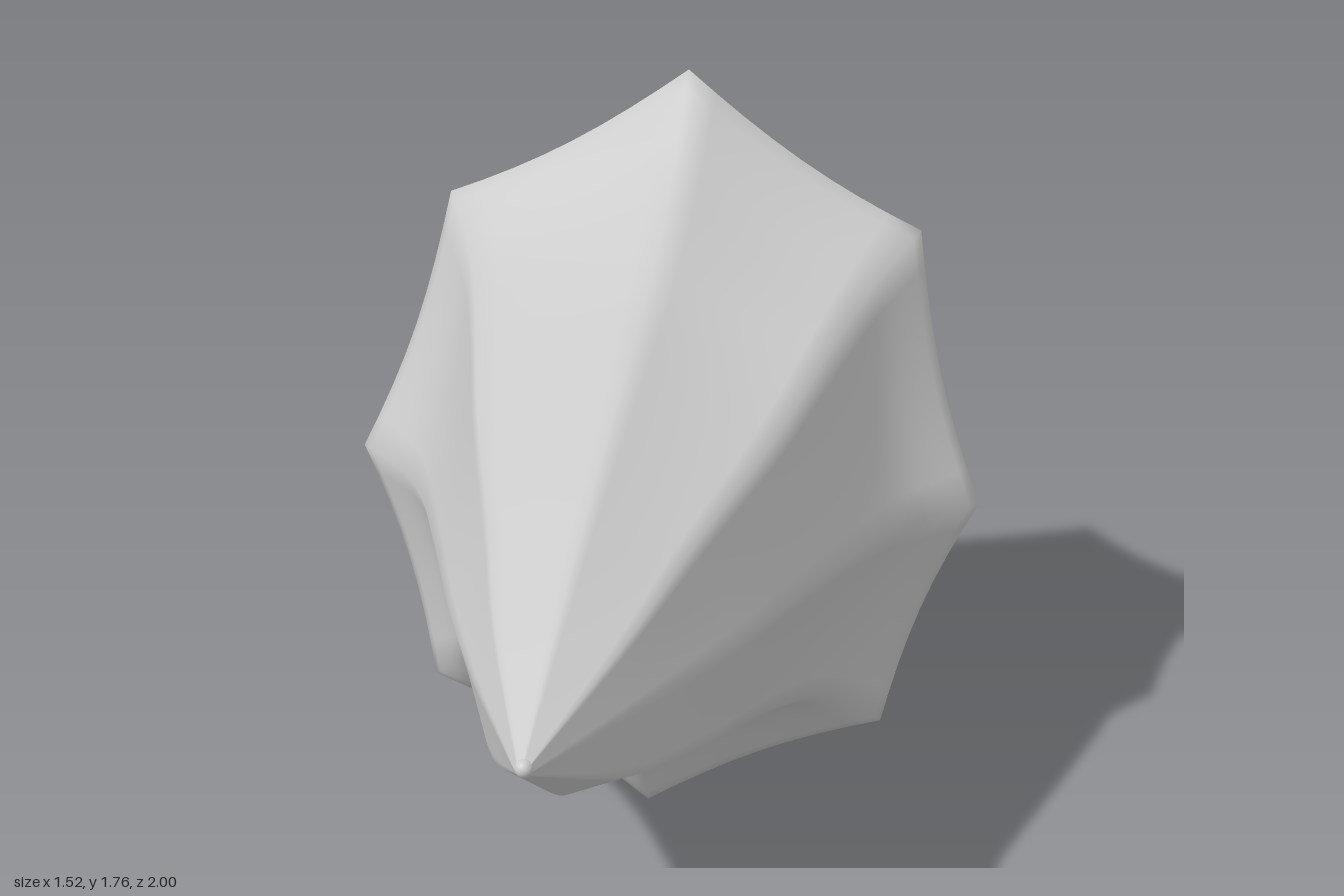
import * as THREE from 'three';

const grey = new THREE.MeshStandardMaterial({ color: 0xcccccc, side: THREE.DoubleSide });

// Smooth surface from closed loops: at(row, col) gives each point.
function loft(name, rows, cols, at) {
  const pos = [], index = [];
  for (let r = 0; r <= rows; r++)
    for (let c = 0; c < cols; c++) pos.push(...at(r, c).toArray());
  for (let r = 0; r < rows; r++)
    for (let c = 0; c < cols; c++) {
      const a = r * cols + c, b = r * cols + (c + 1) % cols;
      index.push(a, b, a + cols, b, b + cols, a + cols);
    }
  const geo = new THREE.BufferGeometry();
  geo.setAttribute('position', new THREE.Float32BufferAttribute(pos, 3));
  geo.setIndex(index);
  geo.computeVertexNormals();
  const mesh = new THREE.Mesh(geo, grey);
  mesh.name = name;
  return mesh;
}

// Ridge lines from the tip to the rim corners: top, upper, side, lower, bottom.
const RIDGES = [
  [[0, 1.095, 0.985], [0, 1.22, 0.6], [0, 1.31, 0.25], [0, 1.40, -0.15], [0, 1.47, -0.48], [0, 1.58, -0.74], [0, 1.76, -0.99]],
  [[0.014, 1.09, 0.985], [0.14, 1.16, 0.6], [0.23, 1.21, 0.25], [0.34, 1.26, -0.15], [0.42, 1.32, -0.5], [0.48, 1.36, -0.73], [0.57, 1.42, -0.94]],
  [[0.02, 1.075, 0.985], [0.19, 1.03, 0.6], [0.32, 0.97, 0.25], [0.45, 0.91, -0.15], [0.55, 0.86, -0.44], [0.63, 0.83, -0.6], [0.76, 0.8, -0.76]],
  [[0.014, 1.063, 0.985], [0.15, 0.83, 0.6], [0.25, 0.69, 0.25], [0.34, 0.57, -0.1], [0.41, 0.47, -0.33], [0.47, 0.37, -0.49], [0.56, 0.24, -0.63]],
  [[0, 1.06, 0.985], [0, 0.76, 0.6], [0, 0.57, 0.25], [0, 0.44, -0.05], [0, 0.32, -0.28], [0, 0.19, -0.41], [0, 0, -0.53]],
];

// Hollow eight-sided cone with a flared rim; outer skin, then inner skin.
function makeShell() {
  const half = RIDGES.map(p => p.map(v => new THREE.Vector3(...v)));
  const mirrored = half.slice(1, 4).reverse().map(p => p.map(v => v.clone().setX(-v.x)));
  const curves = [...half, ...mirrored].map(p => new THREE.CatmullRomCurve3(p, false, 'centripetal'));
  const n = 40, per = 8, thick = 0.026;
  const section = t => {
    const pts = curves.map(k => {
      const p = k.getPoint(t);
      p.x += 0.03 * (1 - t);
      return p;
    });
    const mid = new THREE.Vector3();
    pts.forEach(p => mid.addScaledVector(p, 1 / 8));
    return { pts, mid };
  };
  const sections = Array.from({ length: n + 1 }, (_, i) => section(i / n));
  return loft('shell', 2 * n + 2, per * 8, (r, c) => {
    const i = r <= n ? r : Math.max(0, 2 * n + 2 - r - (r === n + 1 ? 1 : 0));
    const { pts, mid } = sections[Math.min(i, n)];
    const k = Math.floor(c / per), s = (c % per) / per, t = Math.min(i, n) / n;
    const p = pts[k].clone().lerp(pts[(k + 1) % 8], s);
    const inward = mid.clone().sub(p), len = inward.length();
    inward.normalize();
    p.addScaledVector(inward, 0.1 * s * (1 - s) * t * t);
    // the middle row rounds over the lip, later rows form the inside
    const inset = r <= n ? 0 : r === n + 1 ? thick / 2 : thick;
    p.addScaledVector(inward, Math.min(inset, len * 0.5));
    if (r === n + 1) p.z -= 0.008;
    return p;
  });
}

// Wrinkled cup set inside the shell, with a torn lip and a closed bowl.
function makeCup() {
  // [fraction of the way from front to lip, radius]
  const profile = [
    [0, 0.29], [0.2, 0.31], [0.4, 0.315], [0.6, 0.30], [0.75, 0.285], [0.88, 0.295], [0.95, 0.31], [1, 0.33],
    [1, 0.315], [0.95, 0.295], [0.88, 0.28], [0.75, 0.265], [0.65, 0.24], [0.58, 0.19], [0.54, 0.12], [0.52, 0.05], [0.52, 0.001],
  ];
  const cols = 96, front = 0.1;
  return loft('tornCup', profile.length - 1, cols, (r, c) => {
    const [f, radius] = profile[r], a = c / cols * Math.PI * 2;
    const lip = f ** 8;
    const da = Math.atan2(Math.sin(a), Math.cos(a));
    const spike = Math.exp(-((da / 0.14) ** 2));
    const tear = 0.022 * Math.sin(5 * a + 1) + 0.016 * Math.sin(11 * a) + 0.008 * Math.sin(23 * a + 2) + 0.03 * spike;
    const wrinkle = 1 + 0.025 * Math.sin(4 * a + f * 6) + 0.012 * Math.sin(9 * a - f * 8);
    const rad = radius * wrinkle + lip * (0.05 * spike + 0.012 * Math.sin(7 * a));
    const y = 0.92 - 0.08 * f + rad * Math.cos(a);
    const yLip = 0.84 + 0.32 * Math.cos(a) * Math.min(1, radius / 0.26);
    const end = -0.70 - 0.27 * (yLip - 0.5) - tear * lip;
    return new THREE.Vector3(0.03 + 0.03 * f + rad * Math.sin(a), y, front + (end - front) * f);
  });
}

export function createModel() {
  const group = new THREE.Group();
  group.name = 'hollowCone';
  const tip = new THREE.Mesh(new THREE.SphereGeometry(0.02, 20, 14), grey);
  tip.name = 'tip';
  tip.position.set(0.03, 1.077, 0.98);
  group.add(makeShell(), tip, makeCup());
  return group;
}
